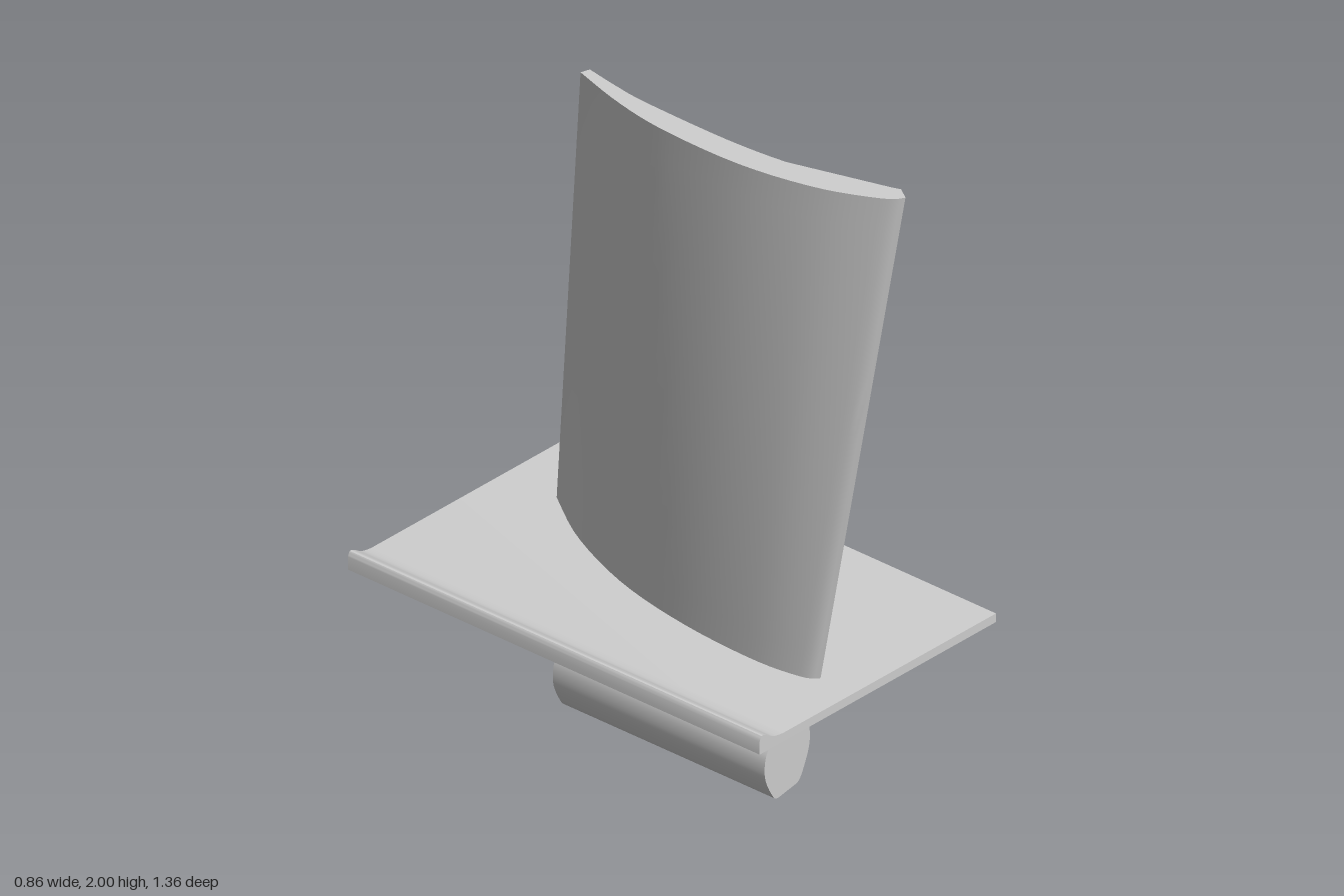
import * as THREE from 'three';
import { toCreasedNormals } from 'three/addons/utils/BufferGeometryUtils.js';

const SLOPE = -0.084; // platform and tip share the same tilt along z
const tilt = (y, z) => y + SLOPE * z;
const V2 = (p) => new THREE.Vector2(p[0], p[1]);
const smooth = (pts, n) => new THREE.SplineCurve(pts.map(V2)).getPoints(n);

// Joins matching rings (counter-clockwise seen from the last ring) and caps both ends.
function loft(name, rings, outline, crease) {
  const n = outline.length, pos = [], idx = [];
  rings.forEach((ring) => ring.forEach((p) => pos.push(p[0], p[1], p[2])));
  for (let r = 0; r < rings.length - 1; r++) {
    for (let i = 0; i < n; i++) {
      const a = r * n + i, b = r * n + ((i + 1) % n);
      idx.push(a, b, b + n, a, b + n, a + n);
    }
  }
  const last = (rings.length - 1) * n;
  for (const [a, b, c] of THREE.ShapeUtils.triangulateShape(outline, [])) {
    idx.push(a, c, b, last + a, last + b, last + c);
  }
  const geo = new THREE.BufferGeometry();
  geo.setAttribute('position', new THREE.Float32BufferAttribute(pos, 3));
  geo.setIndex(idx);
  const mesh = new THREE.Mesh(
    toCreasedNormals(geo, crease),
    new THREE.MeshStandardMaterial({ color: 0xcccccc })
  );
  mesh.name = name;
  return mesh;
}

const ccw = (pts) => (THREE.ShapeUtils.isClockWise(pts) ? pts.reverse() : pts);

// Curved aerofoil: ruled between a root section and a tip section, points as [z, x].
function airfoil() {
  const section = (pressure, suction) =>
    ccw([...smooth(pressure, 28), ...smooth(suction, 28)]);
  const base = section(
    [[0.39, -0.017], [0.25, -0.014], [0.09, -0.012], [-0.09, 0.002], [-0.27, 0.04], [-0.45, 0.103]],
    [[-0.457, 0.085], [-0.33, 0.0], [-0.15, -0.065], [0.05, -0.09], [0.25, -0.085], [0.37, -0.06], [0.405, -0.035]]
  );
  const tip = section(
    [[0.65, -0.045], [0.47, -0.122], [0.27, -0.167], [0.02, -0.189], [-0.07, -0.188], [-0.16, -0.18]],
    [[-0.17, -0.203], [-0.04, -0.232], [0.1, -0.243], [0.31, -0.225], [0.5, -0.172], [0.64, -0.1], [0.676, -0.063]]
  );
  const rows = 16, rings = [];
  for (let r = 0; r <= rows; r++) {
    const t = r / rows;
    rings.push(base.map((b, i) => {
      const p = b.clone().lerp(tip[i], t);
      return [p.y, tilt(THREE.MathUtils.lerp(0.42, 1.986, t), p.x), p.x];
    }));
  }
  return loft('airfoil', rings, base, 0.6);
}

// Skewed, tilted platform with a raised rounded lip along its right edge.
function platform() {
  const outline = ccw([
    ...smooth([[-0.33, 0.44], [-0.324, 0.454], [-0.31, 0.45], [-0.285, 0.434], [-0.255, 0.428]], 12),
    V2([0.43, 0.428]), V2([0.43, 0.403]), V2([-0.33, 0.403])
  ]);
  const ring = (v) => outline.map((p) => {
    const z = 0.45 + (0.12 * (p.x + 0.33)) / 0.76 - 1.13 * v;
    return [p.x - 0.1 * v, tilt(p.y, z), z];
  });
  return loft('platform', [ring(1), ring(0)], outline, 0.5);
}

// Waisted mounting root, mirrored about its own centre line and cut to the platform.
function root() {
  const cx = -0.01;
  const half = [
    ...smooth([[0.035, 0], [0.052, 0.01], [0.078, 0.06], [0.088, 0.1], [0.083, 0.145], [0.06, 0.18],
      [0.045, 0.21], [0.045, 0.25], [0.065, 0.285], [0.095, 0.315], [0.106, 0.345], [0.107, 0.36]], 40),
    V2([0.107, 0.41])
  ];
  const outline = ccw([
    ...half.map((p) => new THREE.Vector2(cx + p.x, p.y)),
    ...half.map((p) => new THREE.Vector2(cx - p.x, p.y)).reverse()
  ]);
  const ring = (z) => outline.map((p) => [p.x, p.y > 0.4 ? tilt(p.y, z) : p.y, z]);
  return loft('mountingRoot', [ring(-0.33), ring(0.29)], outline, 0.6);
}

export function createModel() {
  const group = new THREE.Group();
  group.name = 'turbineBlade';
  group.add(airfoil(), platform(), root());
  return group;
}
